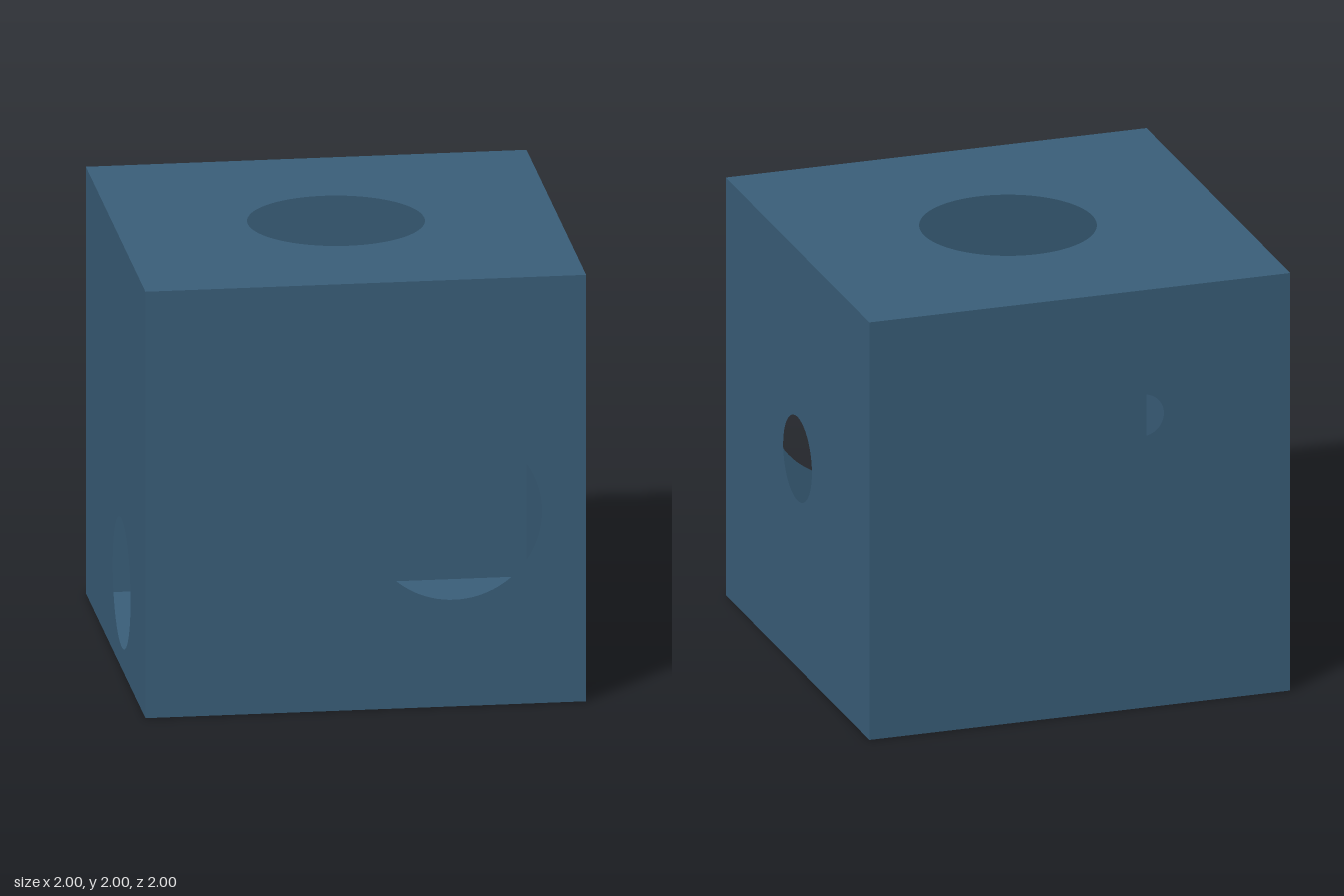
import * as THREE from 'three';

// Thin hollow cube; each wall is a square sheet, most with one round hole.
// hole = [u, v, radius], measured on the wall from its centre, as seen from outside.
const WALLS = [
  { name: 'frontWall', turn: [0, 0, 0], hole: [0.4, -0.1, 0.4] },
  { name: 'backWall', turn: [0, Math.PI, 0], hole: [0.3, 0.4, 0.1] },
  { name: 'leftWall', turn: [0, Math.PI / 2, 0], hole: [0, 0, 0.2] },
  { name: 'rightWall', turn: [0, -Math.PI / 2, 0], hole: [0.2, -0.6, 0.3] },
  { name: 'topWall', turn: [-Math.PI / 2, 0, 0], hole: [0, 0, 0.4] },
  { name: 'floor', turn: [Math.PI / 2, 0, 0] },
];

function wallGeometry(hole) {
  const shape = new THREE.Shape([
    new THREE.Vector2(-1, -1), new THREE.Vector2(1, -1),
    new THREE.Vector2(1, 1), new THREE.Vector2(-1, 1),
  ]);
  if (hole) {
    const [u, v, r] = hole;
    shape.holes.push(new THREE.Path().absarc(u, v, r, 0, Math.PI * 2, true));
  }
  // Push the sheet out from the cube's centre
  return new THREE.ShapeGeometry(shape, 48).translate(0, 0, 1);
}

export function createModel() {
  const group = new THREE.Group();
  group.name = 'hollowCube';
  const material = new THREE.MeshStandardMaterial({ color: 0x3a5f7a, side: THREE.DoubleSide });

  for (const { name, turn, hole } of WALLS) {
    const wall = new THREE.Mesh(wallGeometry(hole), material);
    wall.name = name;
    wall.rotation.set(...turn);
    wall.position.y = 1;
    group.add(wall);
  }
  return group;
}
